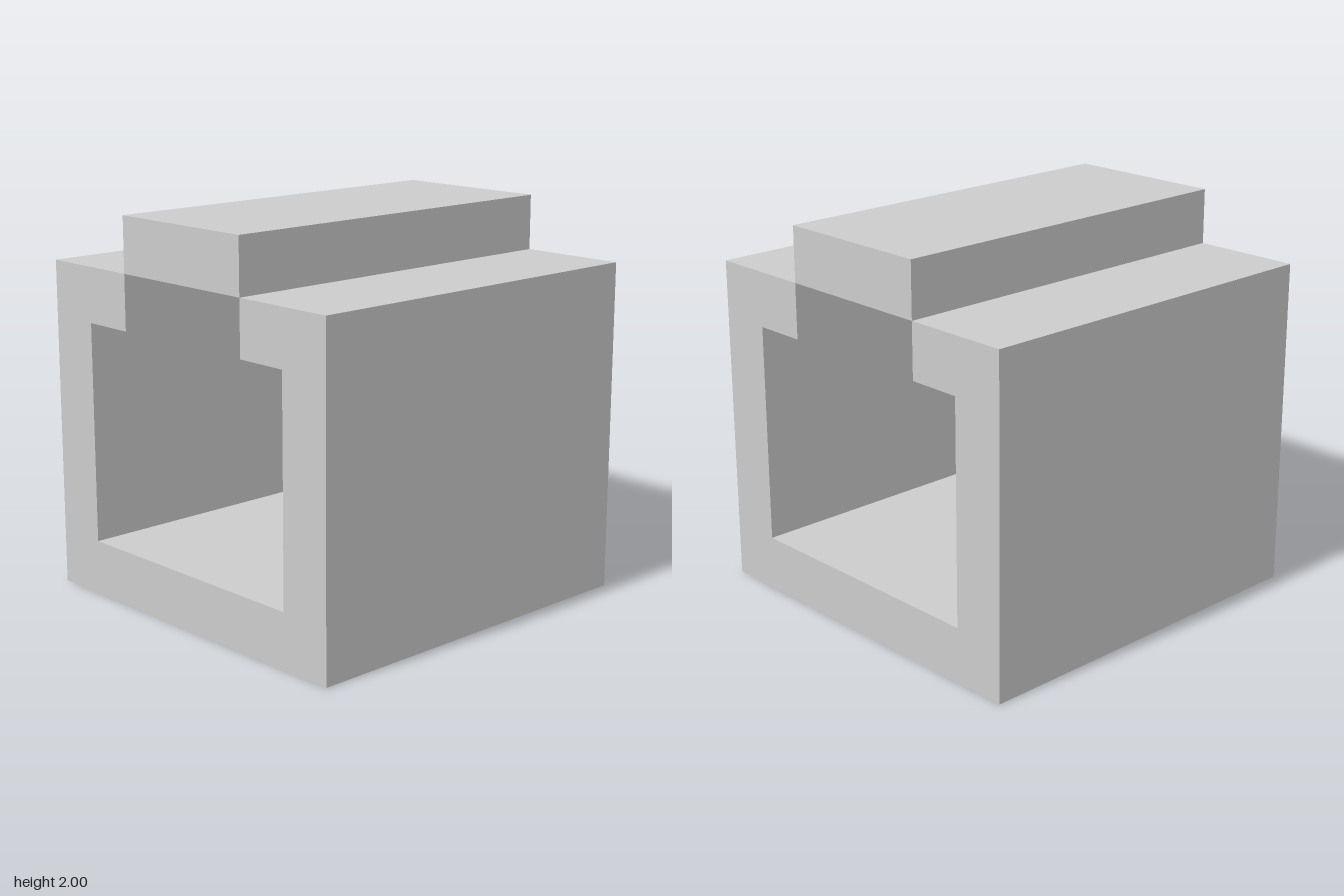
import * as THREE from 'three';

const LENGTH = 2;
const WALL = 2 / 7; // wall, floor, lip and cap thickness
const RIM = 2 - WALL; // top of the channel, underside of the cap
const SLOT = 3 / 7; // half width of the slot between the lips

export function createModel() {
  const group = new THREE.Group();
  group.name = 'slottedChannel';
  const material = new THREE.MeshStandardMaterial({ color: 0xcccccc, flatShading: true });

  // Channel: right half of the cross-section, mirrored to close the C shape
  const inner = 1 - WALL;
  const half = [[1, 0], [1, RIM], [SLOT, RIM], [SLOT, RIM - WALL], [inner, RIM - WALL], [inner, WALL]];
  const outline = [...half, ...half.map(([x, y]) => [-x, y]).reverse()];
  const profile = new THREE.Shape(outline.map(([x, y]) => new THREE.Vector2(x, y)));
  const channelGeometry = new THREE.ExtrudeGeometry(profile, { depth: LENGTH, bevelEnabled: false });
  channelGeometry.translate(0, 0, -LENGTH / 2);
  const channel = new THREE.Mesh(channelGeometry, material);
  channel.name = 'channel';
  group.add(channel);

  // Cap bar: sits over the slot, meeting the lips along their top edges
  const cap = new THREE.Mesh(new THREE.BoxGeometry(2 * SLOT, WALL, LENGTH), material);
  cap.name = 'capBar';
  cap.position.y = RIM + WALL / 2;
  group.add(cap);

  return group;
}
